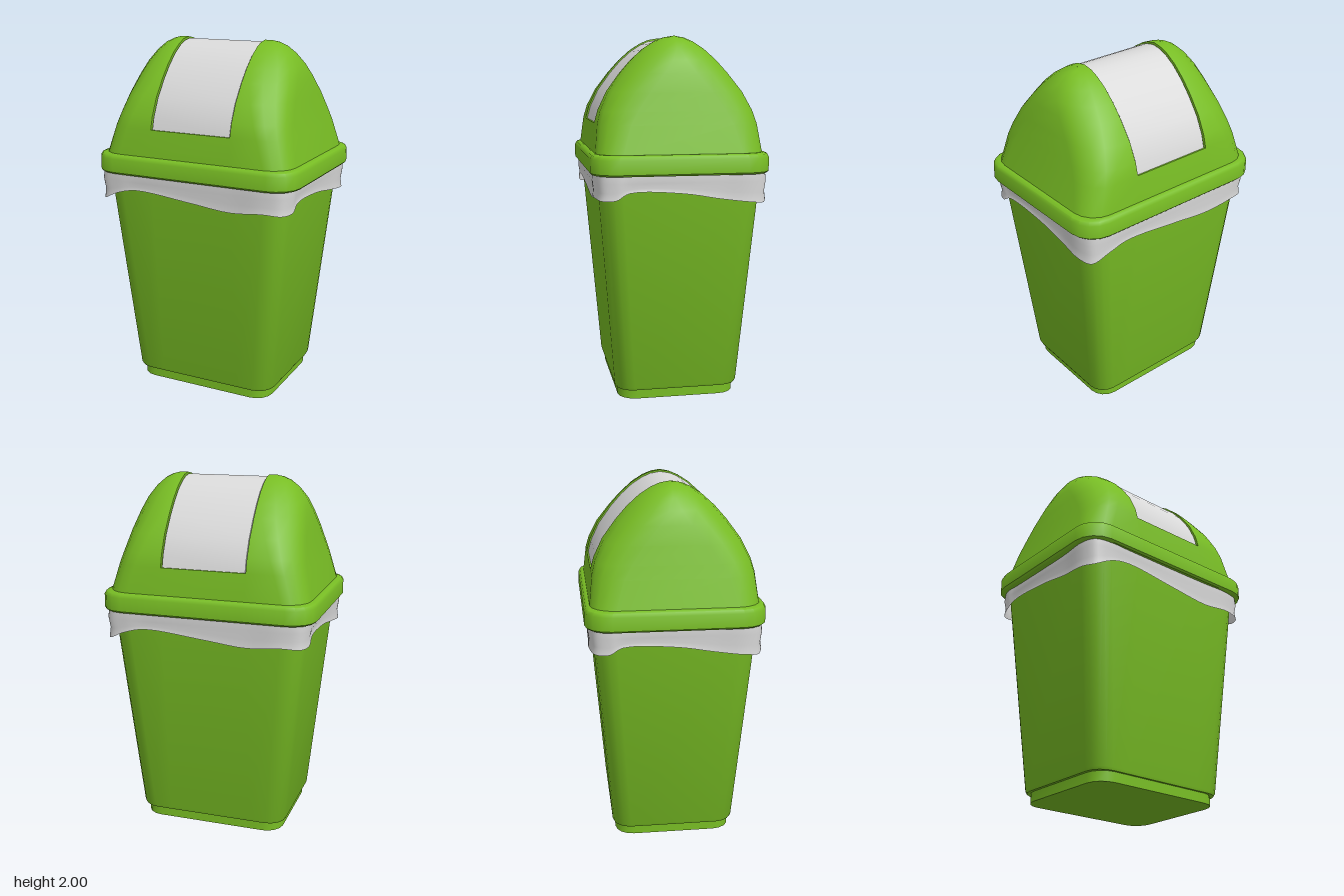
import * as THREE from 'three';
import { toCreasedNormals } from 'three/addons/utils/BufferGeometryUtils.js';

const SEG = 4;          // segments per rounded corner
const SLOT = 0.24;      // half width of the lid opening
const SLOT_Y = 1.53;    // lower edge of the lid opening

// Skin a surface through rows of [x, y, z] points; skip(row, column) leaves holes.
function loft(rows, closed = true, skip = () => false) {
  const n = rows[0].length;
  const index = [];
  for (let i = 0; i < rows.length - 1; i++) {
    for (let j = 0; j < (closed ? n : n - 1); j++) {
      if (skip(i, j)) continue;
      const k = (j + 1) % n;
      const a = i * n + j, b = i * n + k, c = a + n, d = b + n;
      index.push(a, c, b, b, c, d);
    }
  }
  const geometry = new THREE.BufferGeometry();
  geometry.setAttribute('position', new THREE.Float32BufferAttribute(rows.flat(2), 3));
  geometry.setIndex(index);
  return toCreasedNormals(geometry, 0.75);
}

// Rounded rectangle at height y, with two extra points on the front and back edges.
function ring(y, hx, hz, rx, rz = rx) {
  const points = [];
  const slotX = Math.min(SLOT, hx - rx);
  for (let q = 0; q < 4; q++) {
    const sx = q === 0 || q === 3 ? 1 : -1;
    const sz = q < 2 ? 1 : -1;
    for (let s = 0; s <= SEG; s++) {
      const a = (q + s / SEG) * Math.PI / 2;
      points.push([sx * (hx - rx) + rx * Math.cos(a), y, sz * (hz - rz) + rz * Math.sin(a)]);
    }
    if (q === 0) points.push([slotX, y, hz], [-slotX, y, hz]);
    if (q === 2) points.push([-slotX, y, -hz], [slotX, y, -hz]);
  }
  return points;
}

export function createModel() {
  const group = new THREE.Group();
  const green = new THREE.MeshStandardMaterial({ color: 0x78bd24 });
  green.name = 'green plastic';
  const grey = new THREE.MeshStandardMaterial({ color: 0xdadada });
  grey.name = 'light grey plastic';
  const bagGrey = new THREE.MeshStandardMaterial({ color: 0xd6d6d6, side: THREE.DoubleSide });
  bagGrey.name = 'bag grey';

  const add = (name, geometry, material) => {
    const mesh = new THREE.Mesh(geometry, material);
    mesh.name = name;
    group.add(mesh);
    return mesh;
  };

  // Tapered bin with a recessed foot
  add('body', loft([
    ring(0, 0, 0, 0),
    ring(0, 0.415, 0.33, 0.1),
    ring(0.055, 0.415, 0.33, 0.1),
    ring(0.055, 0.432, 0.343, 0.1),
    ring(0.07, 0.439, 0.348, 0.1),
    ring(1.3, 0.56, 0.45, 0.12),
  ]), green);

  // Overhanging lid rim
  add('lidRim', loft([
    ring(1.27, 0.53, 0.41, 0.1),
    ring(1.27, 0.597, 0.475, 0.135),
    ring(1.28, 0.607, 0.485, 0.14),
    ring(1.355, 0.607, 0.485, 0.14),
    ring(1.373, 0.598, 0.476, 0.135),
    ring(1.38, 0.58, 0.46, 0.13),
    ring(1.38, 0.55, 0.43, 0.12),
  ]), green);

  // Domed lid: y, half width, half depth, corner radius in x and in z
  const dome = [
    [1.37, 0.572, 0.455, 0.13, 0.13],
    [SLOT_Y, 0.532, 0.437, 0.14, 0.16],
    [1.6, 0.515, 0.418, 0.15, 0.18],
    [1.7, 0.495, 0.37, 0.17, 0.2],
    [1.8, 0.474, 0.297, 0.19, 0.21],
    [1.87, 0.45, 0.235, 0.18, 0.2],
    [1.93, 0.41, 0.168, 0.15, 0.16],
    [1.97, 0.365, 0.105, 0.11, 0.1],
    [1.99, 0.325, 0.058, 0.075, 0.058],
    [2, 0.285, 0, 0.04, 0],
  ];
  const n = SEG + 1;
  add('lidDome', loft(dome.map((d) => ring(...d)), true,
    (i, j) => i >= 1 && (j === n || j === 3 * n + 2)), green);

  // Arch of the opening, front to back, shrunk inwards by factor k
  const half = dome.slice(1).map(([y, , z]) => [y, z]);
  const arch = [...half, ...half.slice(0, -1).reverse().map(([y, z]) => [y, -z])];
  const archAt = (x, k) => arch.map(([y, z]) => [x, SLOT_Y + (y - SLOT_Y) * k, z * k]);

  // Recessed channel through the lid and the swinging flap in it
  add('flapChannel', loft(
    [archAt(-SLOT, 1), archAt(-SLOT, 0.95), archAt(SLOT, 0.95), archAt(SLOT, 1)], false), green);
  add('flap', loft(
    [archAt(-0.234, 0.95), archAt(-0.234, 0.98), archAt(0.234, 0.98), archAt(0.234, 0.95)], false), grey);
  for (const side of [1, -1]) {
    add(side > 0 ? 'frontLedge' : 'backLedge', new THREE.BoxGeometry(2 * SLOT, 0.006, 0.022), green)
      .position.set(0, SLOT_Y - 0.003, side * 0.426);
  }

  // Bag skirt with a wavy hem: half of the hem, then the same turned by 180 degrees
  const hem = [
    [-0.45, 1.16, 0.466], [-0.33, 1.185, 0.464], [0, 1.155, 0.46], [0.25, 1.13, 0.46],
    [0.44, 1.145, 0.462], [0.54, 1.138, 0.432], [0.572, 1.143, 0.36], [0.57, 1.18, 0.29],
    [0.568, 1.172, 0], [0.57, 1.14, -0.2], [0.578, 1.12, -0.37], [0.548, 1.115, -0.442],
  ];
  const keys = [...hem, ...hem.map(([x, y, z]) => [-x, y, -z])];
  const curve = new THREE.CatmullRomCurve3(keys.map((p) => new THREE.Vector3(...p)), true);
  const edge = curve.getPoints(120).slice(0, -1).reverse();
  add('bagSkirt', loft([
    edge.map((p) => [p.x, p.y, p.z]),
    edge.map((p) => [p.x * 0.99, (p.y + 1.2) / 2 + 0.01, p.z * 0.99]),
    edge.map((p) => [p.x * 1.005, 1.23, p.z * 1.005]),
    edge.map((p) => [p.x * 0.995, 1.29, p.z * 0.995]),
  ]), bagGrey);

  return group;
}
